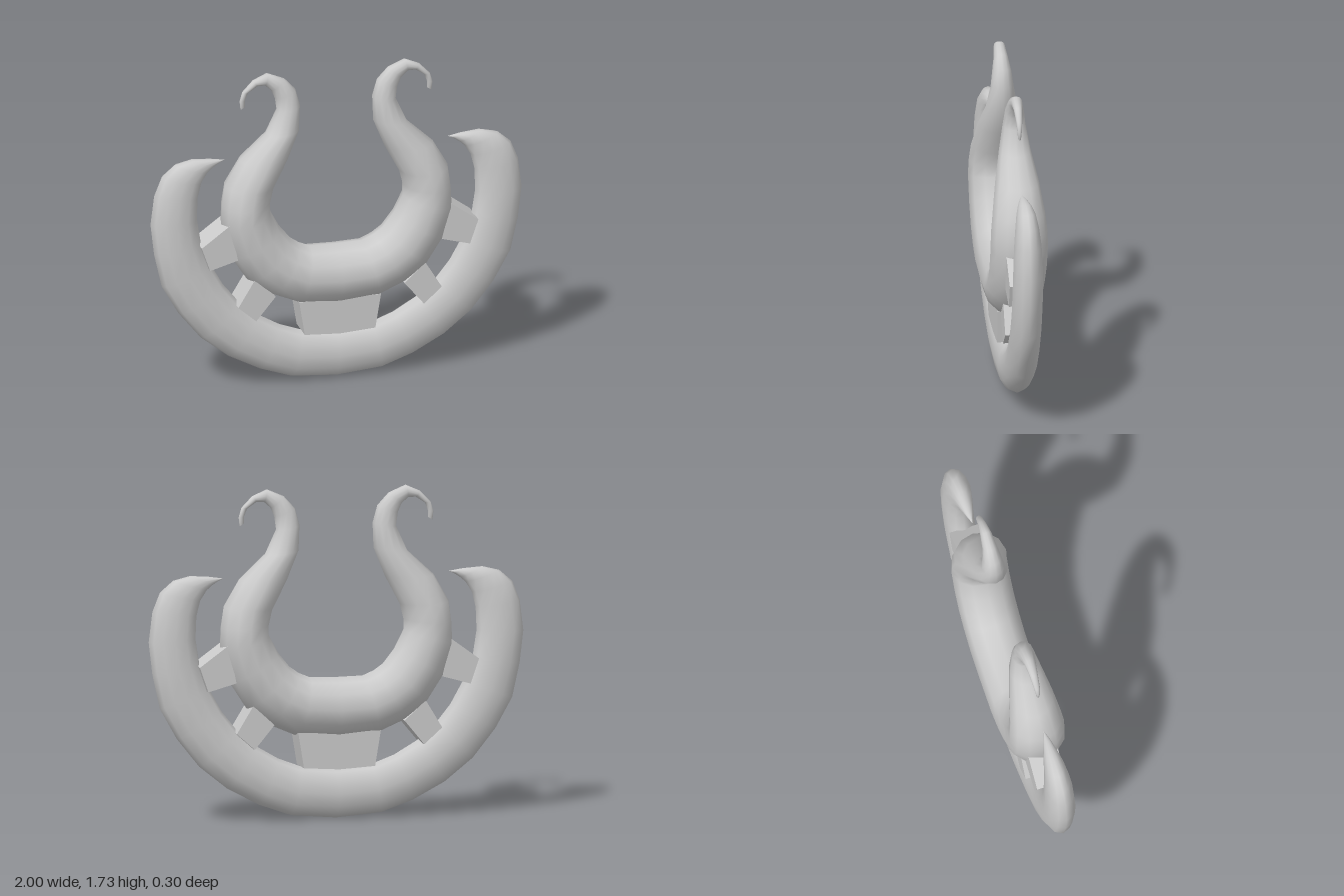
import * as THREE from 'three';

const material = new THREE.MeshStandardMaterial({ color: 0xcccccc, side: THREE.DoubleSide });
const SIDES = 12;

// Each station: [inner x, inner y, outer x, outer y, half depth], from the middle to the +x tip.
const hornStations = [
  [0, 0.737, 0, 0.42, 0.15],
  [0.14, 0.74, 0.22, 0.44, 0.15],
  [0.20, 0.765, 0.36, 0.50, 0.15],
  [0.25, 0.80, 0.48, 0.59, 0.15],
  [0.31, 0.875, 0.57, 0.73, 0.15],
  [0.36, 0.97, 0.62, 0.90, 0.15],
  [0.36, 1.03, 0.615, 1.01, 0.148],
  [0.34, 1.11, 0.60, 1.12, 0.138],
  [0.26, 1.26, 0.52, 1.26, 0.115],
  [0.20, 1.41, 0.38, 1.39, 0.083],
  [0.195, 1.54, 0.32, 1.52, 0.06],
  [0.22, 1.63, 0.33, 1.59, 0.05],
  [0.28, 1.695, 0.35, 1.636, 0.038],
  [0.37, 1.733, 0.385, 1.667, 0.03],
  [0.447, 1.70, 0.425, 1.668, 0.022],
  [0.505, 1.64, 0.475, 1.635, 0.016],
  [0.52, 1.59, 0.49, 1.595, 0.012],
  [0.515, 1.545, 0.49, 1.56, 0.008],
  [0.502, 1.552, 0.502, 1.552, 0],
];

const crescentStations = [
  [0, 0.26, 0, 0, 0.08],
  [0.19, 0.275, 0.24, 0.02, 0.08],
  [0.31, 0.32, 0.41, 0.08, 0.08],
  [0.43, 0.39, 0.58, 0.17, 0.08],
  [0.53, 0.475, 0.73, 0.29, 0.08],
  [0.61, 0.575, 0.85, 0.44, 0.08],
  [0.68, 0.70, 0.94, 0.60, 0.08],
  [0.73, 0.83, 0.98, 0.78, 0.08],
  [0.75, 0.96, 1.0, 0.95, 0.078],
  [0.745, 1.08, 0.98, 1.11, 0.072],
  [0.725, 1.16, 0.94, 1.21, 0.062],
  [0.69, 1.215, 0.87, 1.27, 0.05],
  [0.66, 1.24, 0.78, 1.292, 0.035],
  [0.63, 1.26, 0.68, 1.285, 0.018],
  [0.60, 1.273, 0.60, 1.273, 0],
];

// Skin of elliptical rings through the stations, mirrored across x = 0
function sweep(name, half) {
  const mirrored = half.slice(1).reverse().map(([ix, iy, ox, oy, d]) => [-ix, iy, -ox, oy, d]);
  const stations = [...mirrored, ...half];
  const positions = [], index = [];
  stations.forEach(([ix, iy, ox, oy, depth], i) => {
    const cx = (ix + ox) / 2, cy = (iy + oy) / 2;
    for (let j = 0; j < SIDES; j++) {
      const angle = (j / SIDES) * Math.PI * 2, c = Math.cos(angle);
      positions.push(cx + c * (ox - cx), cy + c * (oy - cy), Math.sin(angle) * depth);
      if (i === stations.length - 1) continue;
      const a = i * SIDES + j, b = i * SIDES + (j + 1) % SIDES;
      index.push(a, a + SIDES, b, b, a + SIDES, b + SIDES);
    }
  });
  const geometry = new THREE.BufferGeometry();
  geometry.setAttribute('position', new THREE.Float32BufferAttribute(positions, 3));
  geometry.setIndex(index);
  geometry.computeVertexNormals();
  const mesh = new THREE.Mesh(geometry, material);
  mesh.name = name;
  return mesh;
}

// Flat-sided connector block from its front outline
function block(name, corners) {
  const shape = new THREE.Shape(corners.map(([x, y]) => new THREE.Vector2(x, y)));
  const geometry = new THREE.ExtrudeGeometry(shape, { depth: 0.16, bevelEnabled: false });
  geometry.translate(0, 0, -0.08);
  const mesh = new THREE.Mesh(geometry, material);
  mesh.name = name;
  return mesh;
}

export function createModel() {
  const group = new THREE.Group();
  group.name = 'hornedCrescent';
  group.add(sweep('innerHorns', hornStations), sweep('outerCrescent', crescentStations));

  // Connectors between the two crescents
  group.add(block('centreBlock', [[-0.22, 0.46], [-0.19, 0.275], [0, 0.263], [0.19, 0.275], [0.22, 0.46]]));
  const lower = [[0.46, 0.61], [0.548, 0.465], [0.452, 0.38], [0.347, 0.507]];
  const upper = [[0.59, 0.933], [0.745, 0.82], [0.70, 0.69], [0.55, 0.732]];
  for (const [side, s] of [['left', 1], ['right', -1]]) {
    const mirror = (points) => points.map(([x, y]) => [s * x, y]);
    group.add(block(side + 'LowerBlock', mirror(lower)), block(side + 'UpperBlock', mirror(upper)));
  }
  return group;
}
